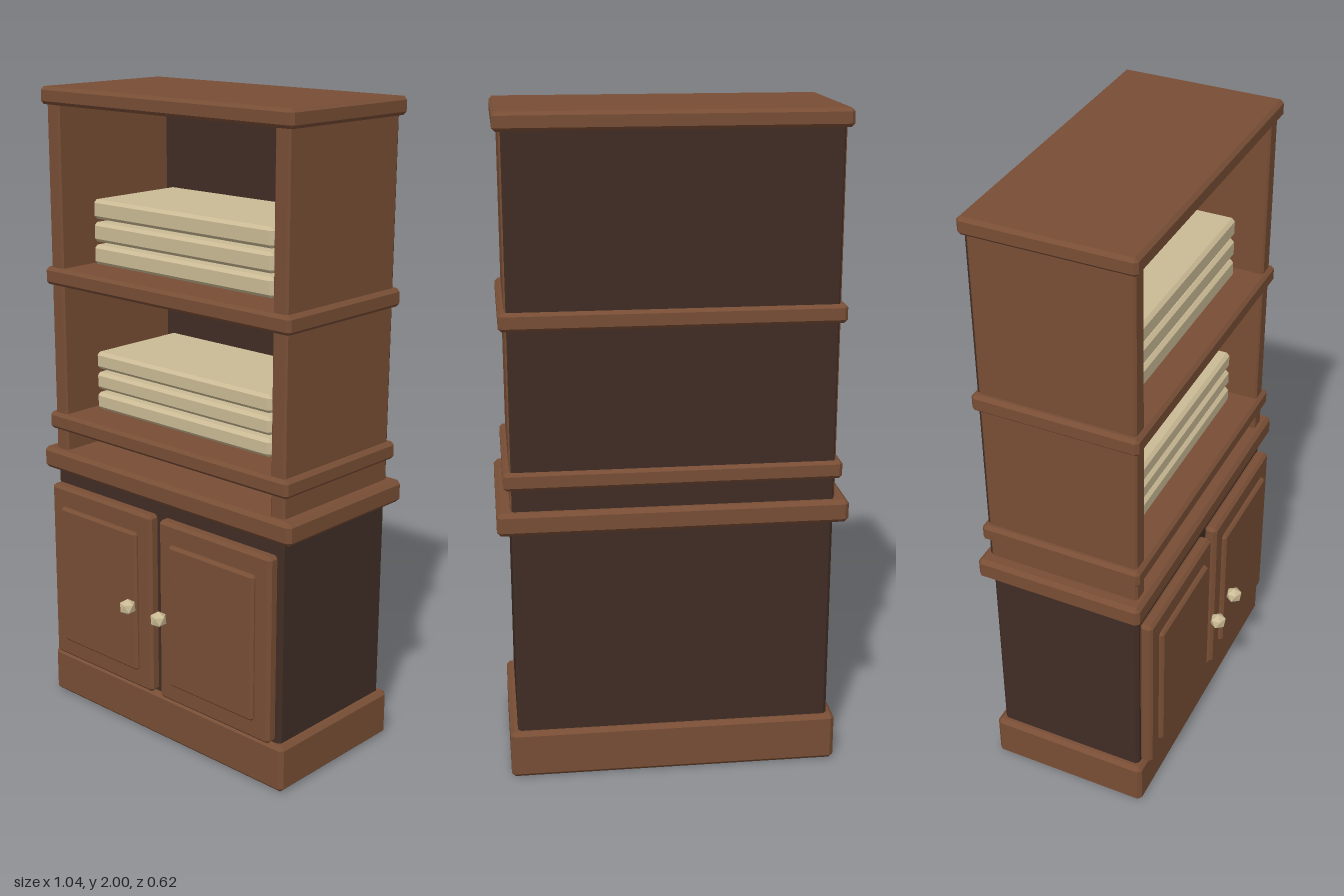
import * as THREE from 'three';
import { ConvexGeometry } from 'three/addons/geometries/ConvexGeometry.js';

const wood = new THREE.MeshStandardMaterial({ color: 0x784e35 });
wood.name = 'warmWood';
const darkWood = new THREE.MeshStandardMaterial({ color: 0x402d24 });
darkWood.name = 'darkWood';
const cream = new THREE.MeshStandardMaterial({ color: 0xcbbb95 });
cream.name = 'cream';

// Box with flat chamfers on all edges, given as [min, max] per axis
function chamferBox(name, material, [x0, x1], [y0, y1], [z0, z1], bevel = 0.01) {
  const half = [(x1 - x0) / 2, (y1 - y0) / 2, (z1 - z0) / 2];
  const points = [];
  for (const sx of [-1, 1]) for (const sy of [-1, 1]) for (const sz of [-1, 1]) {
    for (let axis = 0; axis < 3; axis++) {
      const p = half.map((h, i) => (i === axis ? h : h - bevel));
      points.push(new THREE.Vector3(p[0] * sx, p[1] * sy, p[2] * sz));
    }
  }
  const mesh = new THREE.Mesh(new ConvexGeometry(points), material);
  mesh.position.set((x0 + x1) / 2, (y0 + y1) / 2, (z0 + z1) / 2);
  mesh.name = name;
  return mesh;
}

export function createModel() {
  const model = new THREE.Group();
  model.name = 'bookcaseCabinet';

  // Lower cabinet: plinth, carcass and countertop
  model.add(
    chamferBox('plinth', wood, [-0.5, 0.5], [0, 0.15], [-0.303, 0.213], 0.012),
    chamferBox('cabinetBody', darkWood, [-0.477, 0.477], [0.13, 0.81], [-0.285, 0.195]),
    chamferBox('countertop', wood, [-0.52, 0.52], [0.79, 0.86], [-0.311, 0.218], 0.012),
  );

  // Upper shelving: back, sides and boards
  model.add(chamferBox('backPanel', darkWood, [-0.475, 0.475], [0.84, 1.97], [-0.29, -0.265], 0.005));
  for (const s of [-1, 1]) {
    const xs = [s * 0.427, s * 0.48].sort((a, b) => a - b);
    model.add(chamferBox(s > 0 ? 'leftSide' : 'rightSide', wood, xs, [0.84, 1.97], [-0.283, 0.195], 0.006));
  }
  for (const [name, y0, y1] of [['lowerShelf', 0.925, 0.98], ['upperShelf', 1.395, 1.45], ['topBoard', 1.947, 2]]) {
    model.add(chamferBox(name, wood, [-0.498, 0.498], [y0, y1], [-0.3, 0.208]));
  }

  // Stacks of slabs on both shelves
  for (const [name, y, height, pitch] of [['lowerStack', 0.998, 0.055, 0.066], ['upperStack', 1.465, 0.06, 0.07]]) {
    const stack = new THREE.Group();
    stack.name = name;
    for (let i = 0; i < 3; i++) {
      const bottom = y + i * pitch;
      stack.add(chamferBox('slab', cream, [-0.363, 0.363], [bottom, bottom + height], [-0.227, 0.125]));
    }
    model.add(stack);
  }

  // Doors with raised panels and faceted knobs
  for (const s of [-1, 1]) {
    const door = new THREE.Group();
    door.name = s > 0 ? 'leftDoor' : 'rightDoor';
    const span = (a, b) => [s * a, s * b].sort((p, q) => p - q);
    door.add(
      chamferBox('doorFrame', wood, span(0.017, 0.465), [0.158, 0.75], [0.193, 0.235]),
      chamferBox('doorPanel', wood, span(0.07, 0.412), [0.22, 0.685], [0.215, 0.249], 0.008),
    );
    const knob = new THREE.Mesh(new THREE.IcosahedronGeometry(0.027, 0), cream);
    knob.name = 'knob';
    knob.rotation.z = -Math.atan(2 / (1 + Math.sqrt(5)));
    knob.position.set(s * 0.067, 0.455, 0.286);
    door.add(knob);
    model.add(door);
  }
  return model;
}
